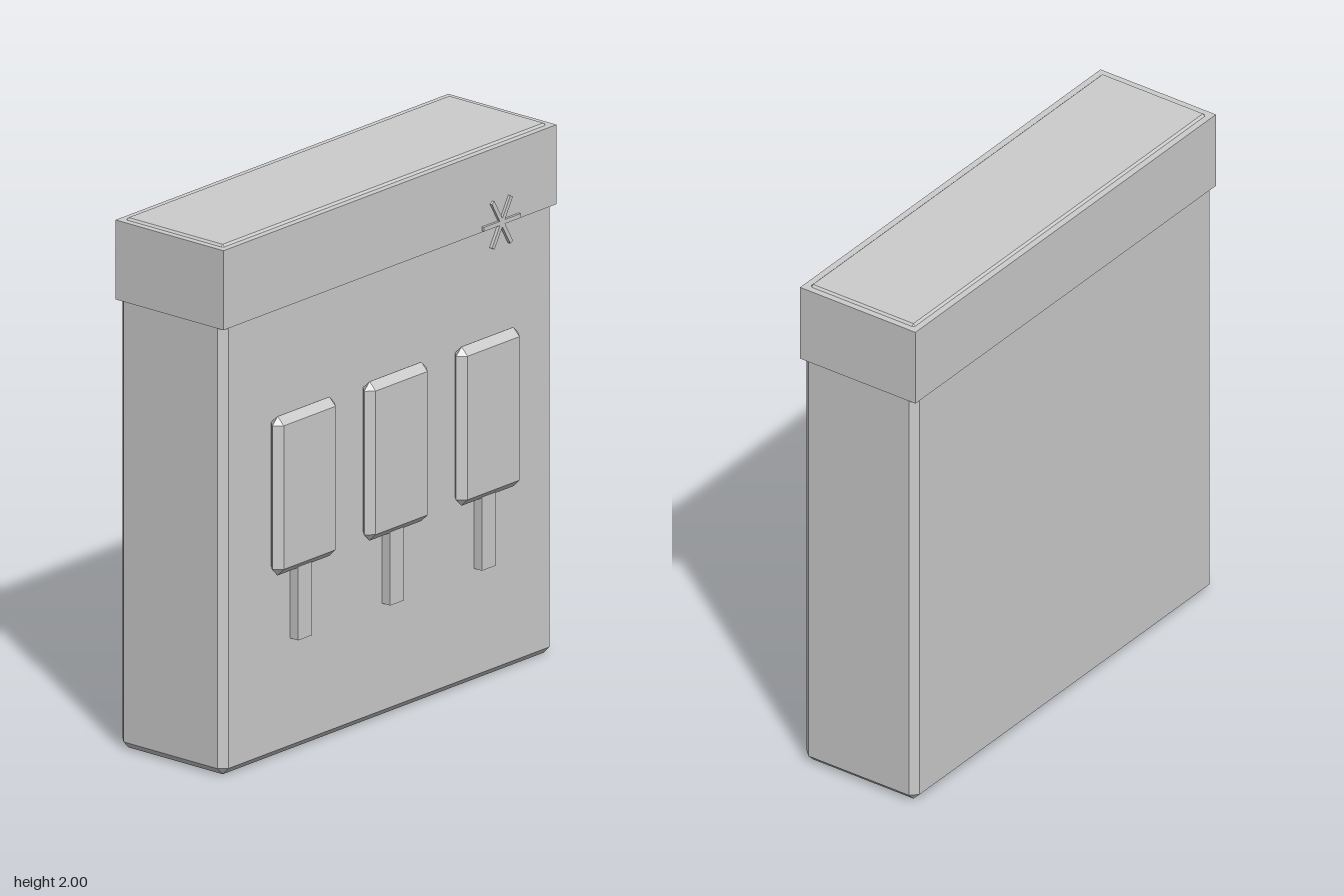
import * as THREE from 'three';
import { ConvexGeometry } from 'three/addons/geometries/ConvexGeometry.js';

const material = new THREE.MeshStandardMaterial({ color: 0xcccccc, flatShading: true });

// Box with flat chamfers on all edges and triangular corner facets
function chamferedBox(w, h, d, c) {
  const points = [];
  for (const sx of [-1, 1]) for (const sy of [-1, 1]) for (const sz of [-1, 1]) {
    const x = w / 2, y = h / 2, z = d / 2;
    points.push(
      new THREE.Vector3(sx * x, sy * (y - c), sz * (z - c)),
      new THREE.Vector3(sx * (x - c), sy * y, sz * (z - c)),
      new THREE.Vector3(sx * (x - c), sy * (y - c), sz * z)
    );
  }
  return new ConvexGeometry(points);
}

function addPart(parent, name, geometry, x, y, z) {
  const mesh = new THREE.Mesh(geometry, material);
  mesh.name = name;
  mesh.position.set(x, y, z);
  parent.add(mesh);
  return mesh;
}

export function createModel() {
  const model = new THREE.Group();
  model.name = 'iceLollyBox';

  // Carton and its slightly wider lid band
  addPart(model, 'carton', chamferedBox(0.5, 2, 1.8, 0.028), -0.03, 1, 0);
  addPart(model, 'lid', new THREE.BoxGeometry(0.51, 0.3, 1.81), -0.03, 1.842, 0);

  // Three raised ice lollies on the broad face
  const iceGeometry = chamferedBox(0.06, 0.6, 0.34, 0.029);
  const stickGeometry = new THREE.BoxGeometry(0.04, 0.3, 0.075);
  for (const z of [-0.5, 0, 0.5]) {
    const lolly = new THREE.Group();
    lolly.name = 'iceLolly';
    lolly.position.z = z;
    addPart(lolly, 'ice', iceGeometry, 0.25, 1.003, 0);
    addPart(lolly, 'stick', stickGeometry, 0.238, 0.582, 0);
    model.add(lolly);
  }

  // Snowflake made of three crossed bars
  const snowflake = new THREE.Group();
  snowflake.name = 'snowflake';
  snowflake.position.set(0.229, 1.705, -0.6);
  const barGeometry = new THREE.BoxGeometry(0.012, 0.016, 0.2);
  for (let i = 0; i < 3; i++) {
    addPart(snowflake, 'snowflakeBar', barGeometry, 0, 0, 0).rotation.x = (i * Math.PI) / 3;
  }
  model.add(snowflake);

  return model;
}
